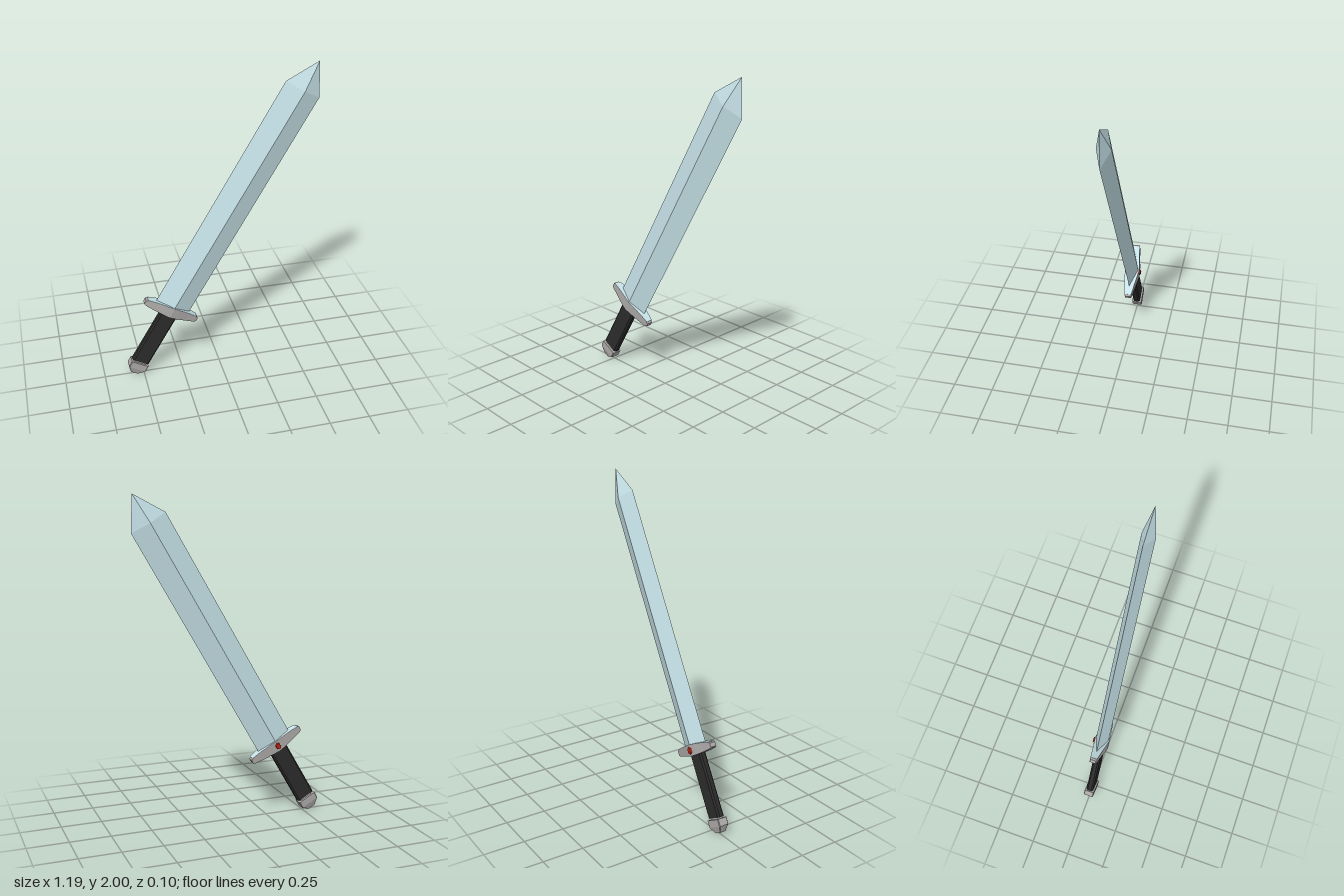
import * as THREE from 'three';

const paint = (color) => new THREE.MeshStandardMaterial({ color, flatShading: true });

// Skin a list of equal-length rings (each anticlockwise about the loft axis) and cap both ends.
function loft(rings) {
  const n = rings[0].length, last = (rings.length - 1) * n, index = [];
  for (let i = 0; i < rings.length - 1; i++) {
    for (let j = 0; j < n; j++) {
      const a = i * n + j, b = i * n + (j + 1) % n;
      index.push(a, b, b + n, a, b + n, a + n);
    }
  }
  for (let j = 1; j < n - 1; j++) {
    index.push(0, j + 1, j, last, last + j, last + j + 1);
  }
  const geometry = new THREE.BufferGeometry();
  geometry.setAttribute('position', new THREE.Float32BufferAttribute(rings.flat(2), 3));
  geometry.setIndex(index);
  const flat = geometry.toNonIndexed();
  flat.computeVertexNormals();
  return flat;
}

// Diamond and chamfered-box rings across the sword's long axis.
const diamond = (y, w, d) => [[0, y, d], [w, y, 0], [0, y, -d], [-w, y, 0]];
const octagon = (y, w, d, c) => [
  [w - c, y, d], [w, y, d - c], [w, y, c - d], [w - c, y, -d],
  [c - w, y, -d], [-w, y, c - d], [-w, y, d - c], [c - w, y, d],
];

export function createModel() {
  const model = new THREE.Group();
  const sword = new THREE.Group();
  sword.name = 'sword';
  sword.position.set(-0.31, 0.455, 0);
  sword.rotation.z = -Math.PI / 6;
  model.add(sword);

  const steel = paint(0xc6e2e8), grey = paint(0xaca8a8);
  const add = (name, geometry, material) => {
    const mesh = new THREE.Mesh(geometry, material);
    mesh.name = name;
    sword.add(mesh);
    return mesh;
  };

  // Blade: diamond section running to a point
  add('blade', loft([diamond(0, 0.118, 0.041), diamond(1.596, 0.118, 0.041), diamond(1.783, 0, 0)]), steel);

  // Guard: thick in the middle, tapering to both ends [x, half height, half depth]
  const half = [[0.186, 0.012, 0.019], [0.174, 0.019, 0.022], [0.11, 0.027, 0.031], [0.045, 0.032, 0.042]];
  const stations = [
    ...half.map(([x, h, d]) => [-x, h, d]),
    [0, 0.034, 0.048],
    ...half.slice().reverse(),
  ];
  const bar = (x, low, high, d) => [[x, high, -d], [x, high, d], [x, low, d], [x, low, -d]];
  add('guard', loft(stations.map(([x, h, d]) => bar(x, -h, h, d))), grey);
  add('guardTopPlate', loft(stations.slice(1, -1).map(([x, h, d]) => bar(x, h, h + 0.002, d))), steel);

  // Gem: small hexagonal stud on the back of the guard
  const gem = add('gem', new THREE.CylinderGeometry(0.018, 0.025, 0.018, 6), paint(0xc0281a));
  gem.rotation.x = -Math.PI / 2;
  gem.scale.set(0.8, 1, 1.1);
  gem.position.z = -0.047;

  // Grip: flat, chamfered handle
  add('grip', loft([octagon(-0.418, 0.058, 0.022, 0.01), octagon(-0.02, 0.058, 0.022, 0.01)]), paint(0x2b2b2b));

  // Pommel: short neck and a block narrowing at the bottom
  add('pommelNeck', loft([octagon(-0.435, 0.046, 0.018, 0.008), octagon(-0.415, 0.046, 0.018, 0.008)]), grey);
  add('pommel', loft([
    octagon(-0.508, 0.026, 0.02, 0.004),
    octagon(-0.47, 0.06, 0.032, 0.004),
    octagon(-0.427, 0.06, 0.032, 0.004),
  ]), grey);

  return model;
}
